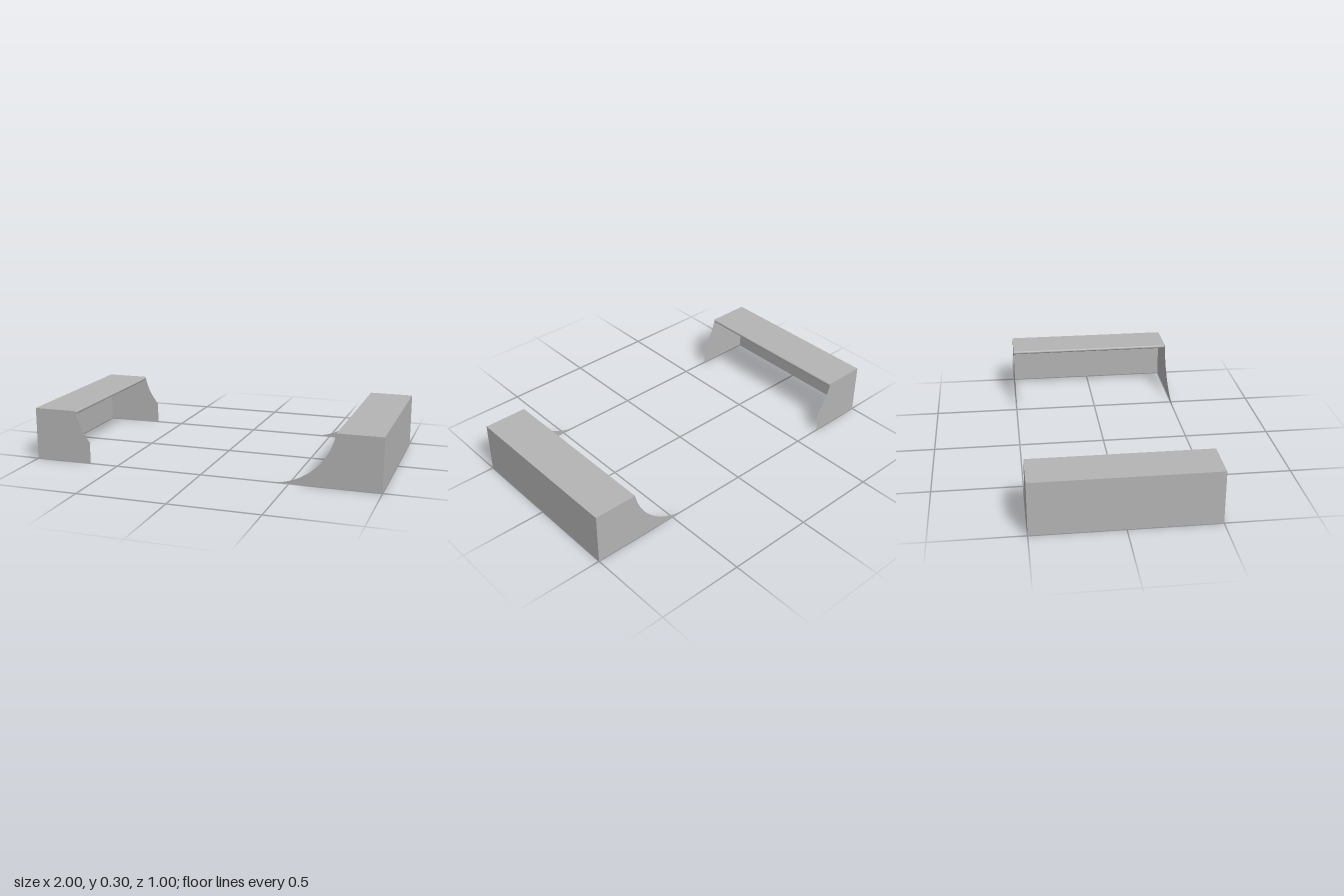
import * as THREE from 'three';

const HEIGHT = 0.3, HALF_DEPTH = 0.5, DECK_EDGE = 0.75, OUTER = 1;
const TOE = 0.39, RADIUS = 0.366; // transition arc, level at the toe

export function createModel() {
  const grey = new THREE.MeshStandardMaterial({ color: 0xb4b4b4, side: THREE.DoubleSide });
  grey.name = 'grey';

  const add = (group, name, geometry, x, y, z) => {
    const mesh = new THREE.Mesh(geometry, grey);
    mesh.name = name;
    mesh.position.set(x, y, z);
    group.add(mesh);
  };

  // Side panel outline: concave arc from the deck edge to the toe, cut off at x = end
  const panelShape = (side, end) => {
    const points = [[OUTER, 0], [OUTER, HEIGHT]];
    const steps = 28;
    for (let i = 0; i <= steps; i++) {
      const x = THREE.MathUtils.lerp(DECK_EDGE, end, i / steps);
      const y = RADIUS - Math.sqrt(RADIUS ** 2 - (x - TOE) ** 2);
      points.push([x, Math.min(HEIGHT, y)]);
    }
    if (end > TOE) points.push([end, 0]);
    return new THREE.Shape(points.map(([x, y]) => new THREE.Vector2(side * x, y)));
  };

  // Open quarter-pipe frame: outer wall, deck, two side panels and an edge rail
  const ramp = (name, side, end) => {
    const group = new THREE.Group();
    group.name = name;

    const wall = new THREE.PlaneGeometry(HALF_DEPTH * 2, HEIGHT).rotateY(side * Math.PI / 2);
    add(group, 'outerWall', wall, side * OUTER, HEIGHT / 2, 0);

    const deck = new THREE.PlaneGeometry(OUTER - DECK_EDGE, HALF_DEPTH * 2).rotateX(-Math.PI / 2);
    add(group, 'deck', deck, side * (OUTER + DECK_EDGE) / 2, HEIGHT, 0);

    for (const end_ of [1, -1]) {
      const panel = new THREE.ShapeGeometry(panelShape(side, end));
      if (end_ < 0) panel.rotateY(Math.PI).scale(-1, 1, 1);
      add(group, end_ > 0 ? 'frontPanel' : 'backPanel', panel, 0, 0, end_ * HALF_DEPTH);
    }

    const rail = new THREE.CylinderGeometry(0.01, 0.01, HALF_DEPTH * 2 - 0.002, 16).rotateX(Math.PI / 2);
    add(group, 'edgeRail', rail, side * (DECK_EDGE + 0.008), HEIGHT - 0.0105, 0);
    return group;
  };

  const model = new THREE.Group();
  model.name = 'rampPair';
  model.add(ramp('longRamp', 1, TOE), ramp('shortRamp', -1, 0.665));
  return model;
}
